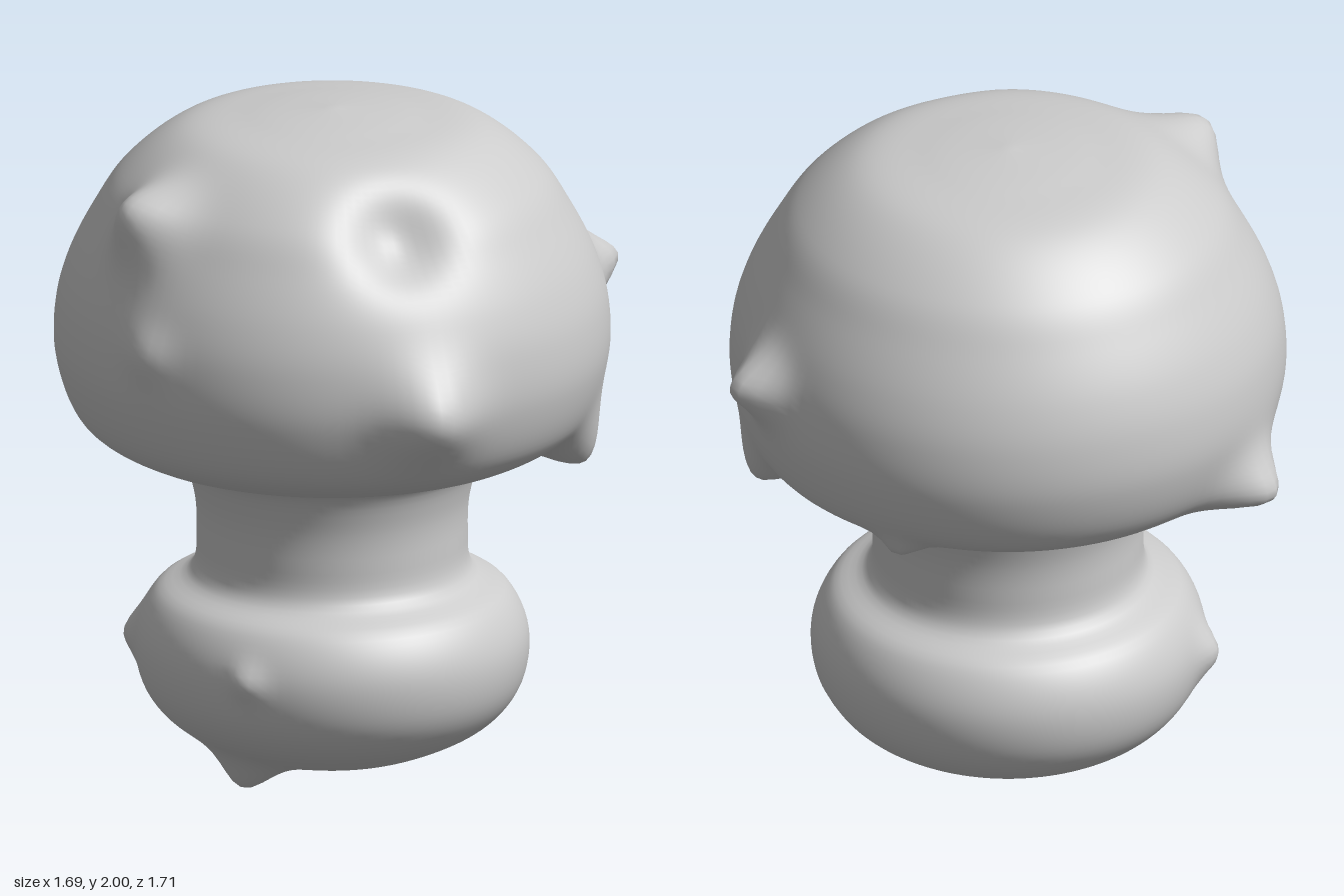
import * as THREE from 'three';
import { mergeVertices } from 'three/addons/utils/BufferGeometryUtils.js';

// radius, height from the underside of the foot to the crown of the cap
const PROFILE = [
  [0, 0.06], [0.19, 0.065], [0.33, 0.105], [0.48, 0.19], [0.55, 0.29], [0.565, 0.43],
  [0.51, 0.55], [0.405, 0.62], [0.39, 0.74], [0.4, 0.86], [0.44, 0.96], [0.52, 0.99],
  [0.62, 1.015], [0.73, 1.09], [0.795, 1.26], [0.795, 1.42], [0.76, 1.55], [0.69, 1.69],
  [0.61, 1.81], [0.44, 1.94], [0.24, 1.98], [0, 2],
];

// where the surface is pushed, which way, and how wide the bump or dent is
const BUMPS = [
  { at: [0.03, 1.29, 0.74], push: [0, 0, 0.11], radius: 0.14 }, // front nose
  { at: [0.74, 1.43, -0.18], push: [0.11, 0.01, -0.02], radius: 0.09 }, // side knob
  { at: [0.6, 1.04, 0.14], push: [0.05, -0.11, 0.01], radius: 0.11 }, // rim drop
  { at: [-0.65, 1.76, 0.18], push: [-0.09, 0.06, 0.03], radius: 0.12 }, // upper knob
  { at: [-0.56, 1.07, -0.56], push: [-0.09, -0.02, -0.11], radius: 0.12 }, // rear rim knob
  { at: [0.42, 1.03, -0.5], push: [0.03, -0.03, -0.03], radius: 0.06 }, // small rear nub
  { at: [-0.72, 1.43, 0.37], push: [-0.02, 0, 0.02], radius: 0.08 }, // small side nub
  { at: [-0.02, 1.78, 0.56], push: [0, -0.05, -0.07], radius: 0.13 }, // cap dimple
  { at: [-0.32, 0.09, 0.03], push: [-0.02, -0.09, 0], radius: 0.09 }, // foot nub
  { at: [-0.54, 0.38, -0.3], push: [-0.04, 0, -0.03], radius: 0.07 }, // foot rear nub
  { at: [-0.42, 0.42, 0.37], push: [-0.02, 0, 0.02], radius: 0.05 }, // foot front nub
  { at: [0.43, 0.18, -0.02], push: [-0.05, 0.04, 0], radius: 0.06 }, // foot dent
].map(({ at, push, radius }) => ({
  at: new THREE.Vector3(...at), push: new THREE.Vector3(...push), radius,
}));

// Push each vertex along every bump it lies near
function addBumps(geometry) {
  const position = geometry.attributes.position;
  const base = new THREE.Vector3();
  const moved = new THREE.Vector3();
  for (let i = 0; i < position.count; i++) {
    base.fromBufferAttribute(position, i);
    moved.copy(base);
    for (const { at, push, radius } of BUMPS) {
      const d = base.distanceTo(at) / radius;
      if (d < 3) moved.addScaledVector(push, Math.exp(-d * d));
    }
    position.setXYZ(i, moved.x, moved.y, moved.z);
  }
}

export function createModel() {
  const group = new THREE.Group();
  group.name = 'mushroom';

  // Smooth turned body: foot, stem and cap in one skin
  const curve = new THREE.CatmullRomCurve3(PROFILE.map(([r, y]) => new THREE.Vector3(r, y, 0)));
  const points = curve.getSpacedPoints(140).map((p) => new THREE.Vector2(Math.max(p.x, 0), p.y));
  let geometry = new THREE.LatheGeometry(points, 128);
  geometry.translate(-0.05, 0, -0.05);
  addBumps(geometry);

  // Weld the seam so the shading stays smooth
  geometry.deleteAttribute('uv');
  geometry.deleteAttribute('normal');
  geometry = mergeVertices(geometry, 1e-4);
  geometry.computeVertexNormals();

  const body = new THREE.Mesh(geometry, new THREE.MeshStandardMaterial({ color: 0xcccccc }));
  body.name = 'capStemAndFoot';
  group.add(body);
  return group;
}
